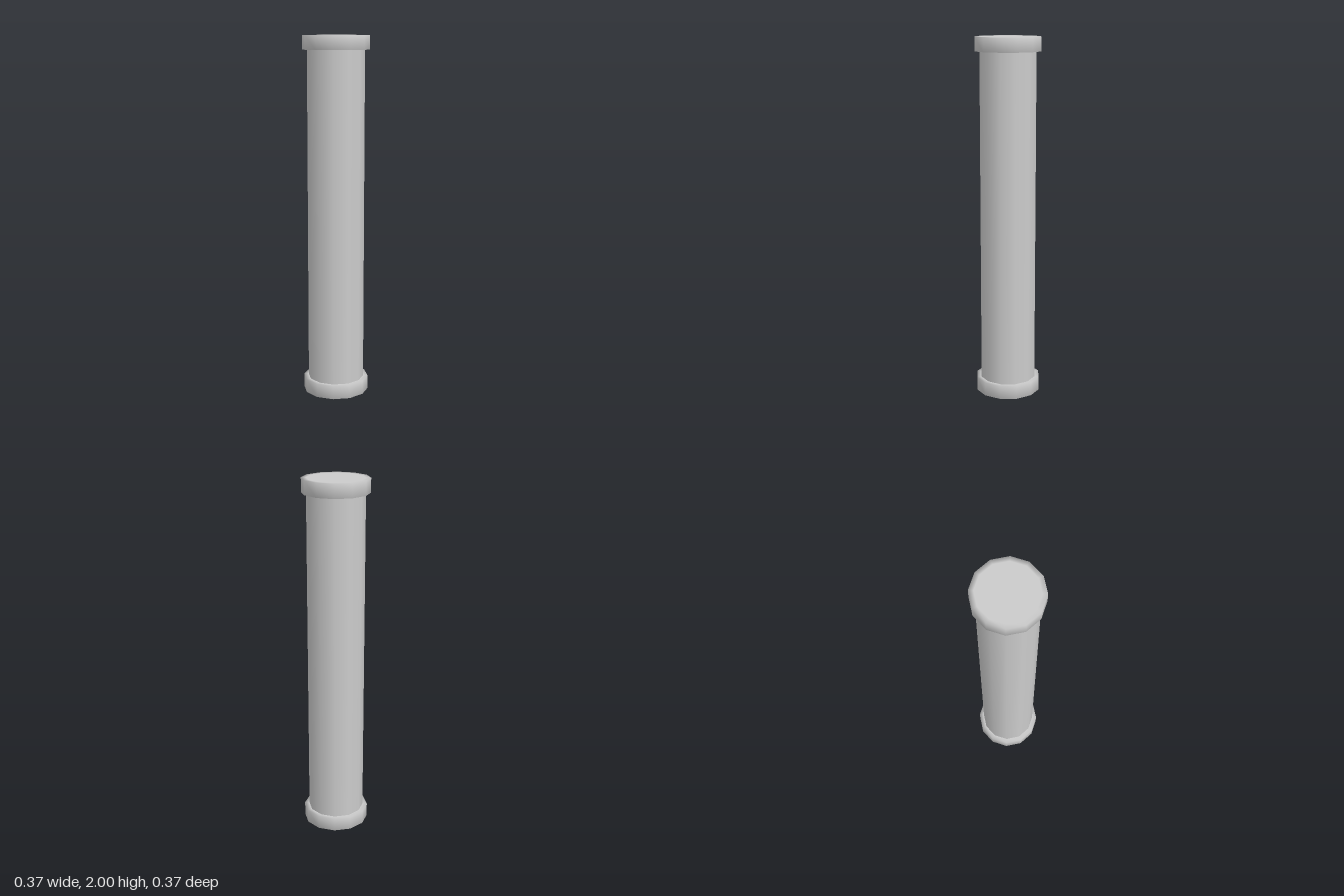
import * as THREE from 'three';

const SIDES = 12;
const HEIGHT = 2;
const SHAFT_R = 0.157;
const COLLAR_R = 0.183;
const COLLAR_H = 0.077;

export function createModel() {
  const group = new THREE.Group();
  const material = new THREE.MeshStandardMaterial({ color: 0xcccccc });

  const add = (name, geometry, y) => {
    const mesh = new THREE.Mesh(geometry, material);
    mesh.name = name;
    mesh.position.y = y;
    group.add(mesh);
    return mesh;
  };

  // Smooth-shaded shaft between the collars
  const shaftH = HEIGHT - 2 * COLLAR_H;
  add('shaft', new THREE.CylinderGeometry(SHAFT_R, SHAFT_R, shaftH, SIDES, 1, true), HEIGHT / 2);

  // Collar band with softly shaded rims, running out from the shaft and back
  const profile = [
    new THREE.Vector2(SHAFT_R, 0),
    new THREE.Vector2(COLLAR_R, 0),
    new THREE.Vector2(COLLAR_R, COLLAR_H),
    new THREE.Vector2(SHAFT_R, COLLAR_H),
  ];
  const collar = new THREE.LatheGeometry(profile, SIDES);
  add('bottomCollar', collar, 0);
  add('topCollar', collar, HEIGHT - COLLAR_H);

  // Flat end faces
  const disc = new THREE.CircleGeometry(SHAFT_R, SIDES);
  add('bottomFace', disc, 0).rotation.x = Math.PI / 2;
  add('topFace', disc, HEIGHT).rotation.x = -Math.PI / 2;

  return group;
}
